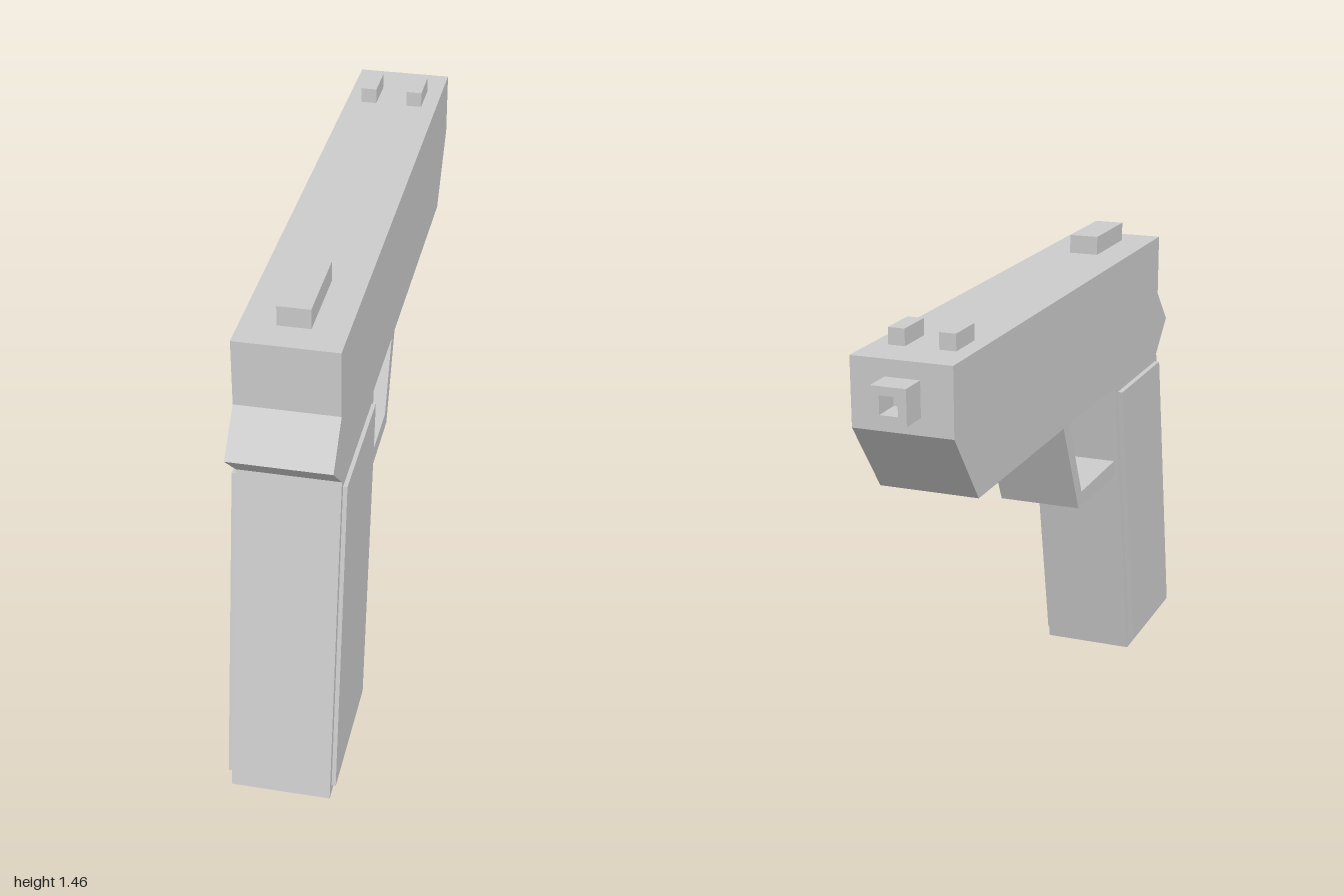
import * as THREE from 'three';

export function createModel() {
  const group = new THREE.Group();
  const material = new THREE.MeshStandardMaterial({ color: 0xcccccc, flatShading: true });

  const add = (name, geometry) => {
    const mesh = new THREE.Mesh(geometry, material);
    mesh.name = name;
    group.add(mesh);
    return mesh;
  };

  const outline = (points) => points.map(([a, b]) => new THREE.Vector2(a, b));

  // Side profile given as [z, y] points, extruded across x from x0 to x1
  const sidePart = (name, points, x0, x1) => {
    const geometry = new THREE.ExtrudeGeometry(new THREE.Shape(outline(points)), {
      depth: x1 - x0, bevelEnabled: false,
    });
    geometry.rotateY(-Math.PI / 2).translate(x1, 0, 0);
    return add(name, geometry);
  };

  // Box given by its limits on each axis
  const block = (name, x0, x1, y0, y1, z0, z1) => {
    const mesh = add(name, new THREE.BoxGeometry(x1 - x0, y1 - y0, z1 - z0));
    mesh.position.set((x0 + x1) / 2, (y0 + y1) / 2, (z0 + z1) / 2);
    return mesh;
  };

  const half = 0.145;

  // Upper body with the pointed tail and the sloped nose
  sidePart('body', [
    [0.815, 1.405], [0.815, 1.21], [0.92, 1.1], [0.815, 1.0],
    [-0.76, 1.0], [-0.915, 1.21], [-0.915, 1.405],
  ], -half, half);

  // Slanted grip
  sidePart('grip', [[0.815, 1.0], [0.37, 1.0], [0.555, 0], [1, 0]], -half, half);

  // Thin raised panel on each side of the grip
  const panel = [[0.8, 0.975], [0.4, 0.975], [0.572, 0.025], [0.972, 0.025]];
  sidePart('leftGripPanel', panel, half, 0.157);
  sidePart('rightGripPanel', panel, -0.161, -half);

  // Bent trigger guard
  sidePart('triggerGuard', [
    [0.42, 0.73], [0.1, 0.73], [-0.022, 1.0], [-0.072, 1.0], [0.073, 0.683], [0.43, 0.678],
  ], -0.13, 0.13);

  // Sights on top
  block('rearSight', -0.046, 0.046, 1.405, 1.463, 0.465, 0.718);
  for (const side of [-1, 1]) {
    block(side > 0 ? 'leftFrontSight' : 'rightFrontSight',
      side * 0.073 - 0.024, side * 0.073 + 0.024, 1.405, 1.452, -0.785, -0.664);
  }

  // Square muzzle with a square bore
  const square = (r) => outline([[-r, -r], [r, -r], [r, r], [-r, r]]);
  const muzzleShape = new THREE.Shape(square(0.05));
  muzzleShape.holes.push(new THREE.Path(square(0.026)));
  const muzzle = add('muzzle', new THREE.ExtrudeGeometry(muzzleShape, { depth: 0.085, bevelEnabled: false }));
  muzzle.position.set(-0.003, 1.308, -1);

  return group;
}
